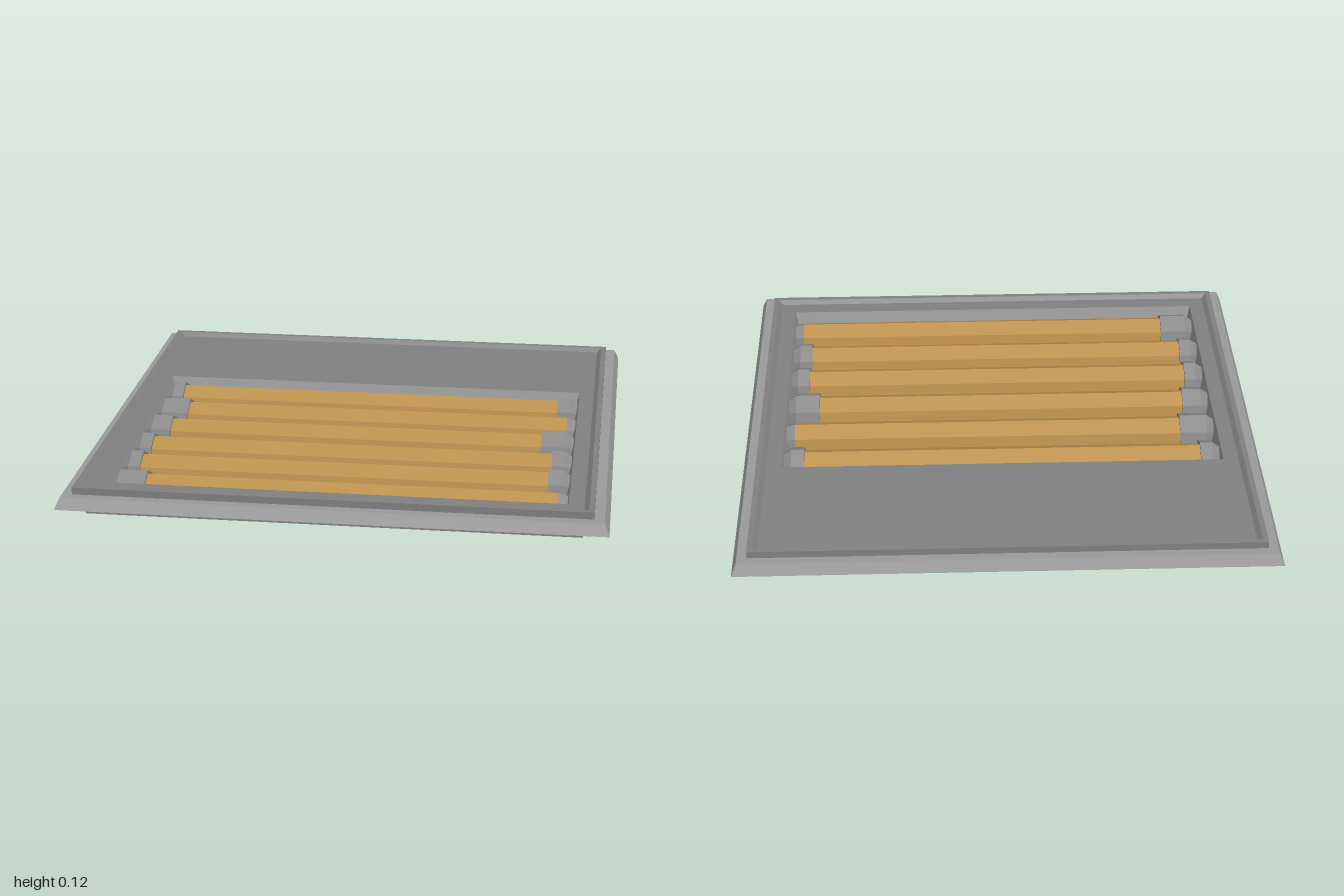
import * as THREE from 'three';

const FLOOR = 0.012;
const paint = (color) => new THREE.MeshStandardMaterial({ color, flatShading: true });
const frameGrey = paint(0x9a9a9a);
const panelGrey = paint(0x808080);
const collarGrey = paint(0x8a8a8a);
const pitGrey = paint(0x3b3b3b);
const gold = paint(0xba8f4a);

// Joins rectangular loops [halfWidth, zBack, zFront, y] into one skin
function rectLoft(name, material, rings) {
  const pos = [];
  const corners = ([h, z0, z1, y]) => [[-h, y, z1], [h, y, z1], [h, y, z0], [-h, y, z0]];
  for (let k = 0; k < rings.length - 1; k++) {
    const a = corners(rings[k]), b = corners(rings[k + 1]);
    for (let i = 0; i < 4; i++) {
      const j = (i + 1) % 4;
      pos.push(...a[i], ...a[j], ...b[j], ...a[i], ...b[j], ...b[i]);
    }
  }
  const g = new THREE.BufferGeometry();
  g.setAttribute('position', new THREE.Float32BufferAttribute(pos, 3));
  g.computeVertexNormals();
  const mesh = new THREE.Mesh(g, material);
  mesh.name = name;
  return mesh;
}

// Seven-sided bar along x, ridge up, its underside flattened onto the floor
function bar(x0, x1, r0, r1, material, name) {
  const g = new THREE.CylinderGeometry(r1, r0, x1 - x0, 7);
  g.rotateZ(-Math.PI / 2).rotateX(-Math.PI / 2).translate((x0 + x1) / 2, 0.018, 0);
  const p = g.attributes.position;
  for (let i = 0; i < p.count; i++) p.setY(i, Math.max(p.getY(i), 0.002));
  g.computeVertexNormals();
  const mesh = new THREE.Mesh(g, material);
  mesh.name = name;
  return mesh;
}

export function createModel() {
  const model = new THREE.Group();
  model.name = 'rollerTray';

  const square = (h, y) => [h, -h, h, y];
  const pitTop = [0.85, -0.37, 0.84, 0.1];
  const pitBottom = [0.83, -0.35, 0.82, FLOOR];

  // Underside, flared base, groove under the rim, bevelled rim
  model.add(rectLoft('frame', frameGrey, [
    square(0, 0), square(0.905, 0), square(0.93, 0.08), square(0.97, 0.08),
    square(0.988, 0.047), square(1, 0.047), square(0.982, 0.089), square(0.945, 0.089),
  ]));
  // Raised lip and shallow sunken panel around the pit
  model.add(rectLoft('panel', panelGrey, [
    square(0.945, 0.089), square(0.945, 0.115), square(0.925, 0.115),
    square(0.908, 0.1), pitTop,
  ]));
  model.add(rectLoft('pitWalls', frameGrey, [pitTop, pitBottom]));
  model.add(rectLoft('pitFloor', pitGrey, [pitBottom, [0, 0.24, 0.24, FLOOR]]));

  // Rollers: z position, then the right and left limits of the coloured bar
  const rollers = [
    [-0.265, -0.77, 0.765], [-0.065, -0.71, 0.81], [0.135, -0.74, 0.72],
    [0.34, -0.77, 0.77], [0.535, -0.77, 0.765], [0.735, -0.71, 0.81],
  ];
  for (const [z, x0, x1] of rollers) {
    const roller = new THREE.Group();
    roller.name = 'roller';
    roller.position.z = z;
    roller.add(bar(x0, x1, 0.081, 0.081, gold, 'rollerBar'));

    // End collars with tapered tips
    const R = 0.093, r = 0.072, end = 0.845, tip = 0.815;
    roller.add(bar(-tip, x0, R, R, collarGrey, 'rightCollar'));
    roller.add(bar(-end, -tip, r, R, collarGrey, 'rightCollarTip'));
    const full = x1 < 0.8;
    if (full) roller.add(bar(x1, tip, R, R, collarGrey, 'leftCollar'));
    roller.add(bar(full ? tip : x1, end, full ? R : 0.081, r, collarGrey, 'leftCollarTip'));
    model.add(roller);
  }
  return model;
}
